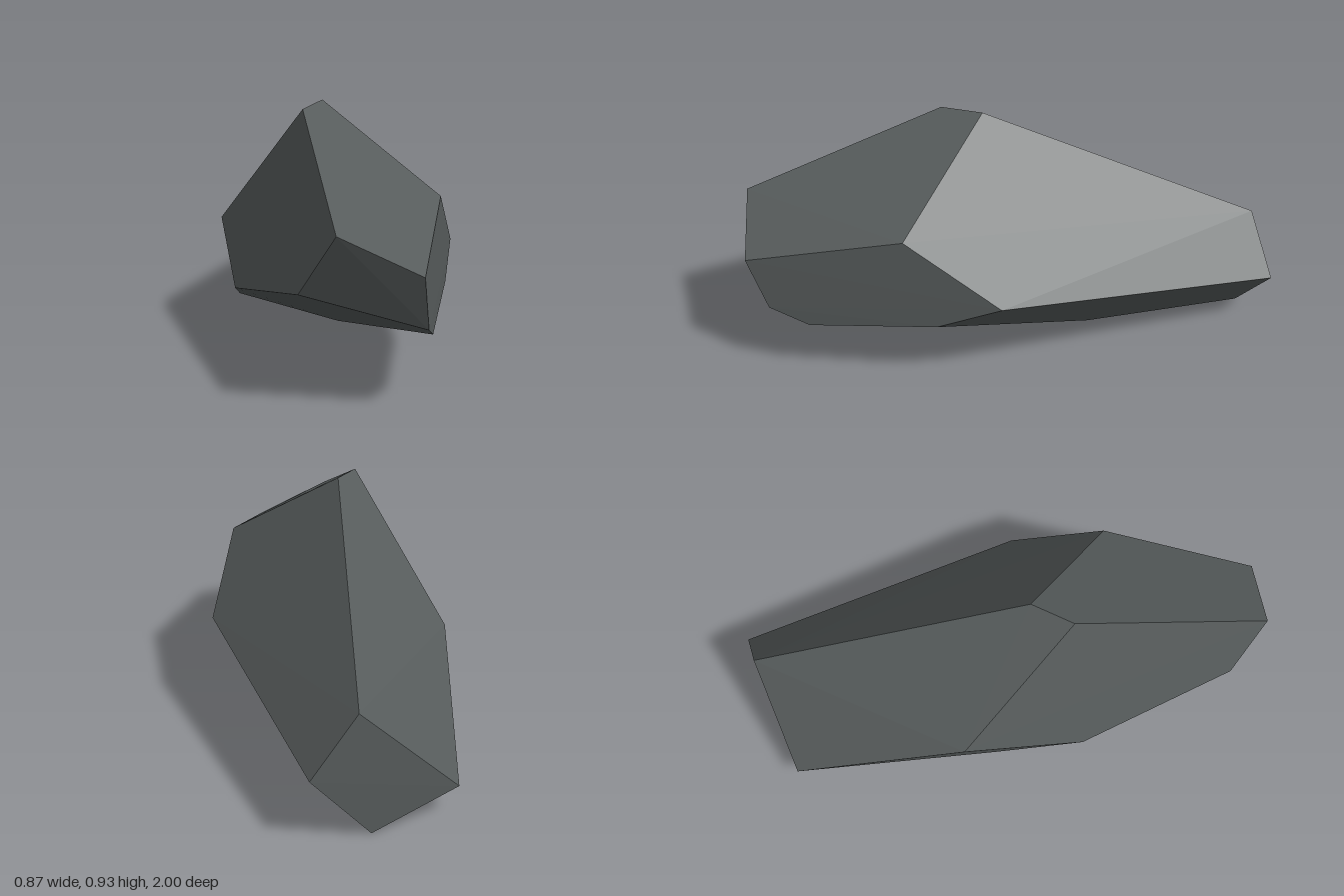
import * as THREE from 'three';
import { ConvexGeometry } from 'three/addons/geometries/ConvexGeometry.js';

export function createModel() {
  const group = new THREE.Group();
  group.name = 'boulder';

  const stone = new THREE.MeshStandardMaterial({ color: 0x565b5b });
  stone.name = 'dark grey stone';

  // Corners of the faceted stone
  const corners = [
    // top ridge
    [-0.135, 0.915, 0.257], [-0.055, 0.925, 0.108],
    // left side
    [-0.437, 0.42, -0.16], [-0.387, 0.267, 0.3], [-0.37, 0.145, -0.028],
    // right side
    [0.343, 0.627, 0.425], [0.437, 0.378, 0.08], [0.383, 0.28, 0.315],
    // front
    [-0.07, 0.638, 0.998], [0.21, 0.5, 1], [0.235, 0.303, 0.93],
    [0.27, 0.238, 0.785], [-0.185, 0.416, 0.88],
    // base
    [0.015, 0.018, -0.04], [0.018, 0.001, -0.3], [-0.077, 0, -0.928],
    // back
    [0.135, 0.245, -1], [-0.03, 0.455, -0.943], [-0.387, 0.11, -0.83],
  ].map((c) => new THREE.Vector3(...c));

  const rock = new THREE.Mesh(new ConvexGeometry(corners), stone);
  rock.name = 'rock';
  group.add(rock);
  return group;
}
